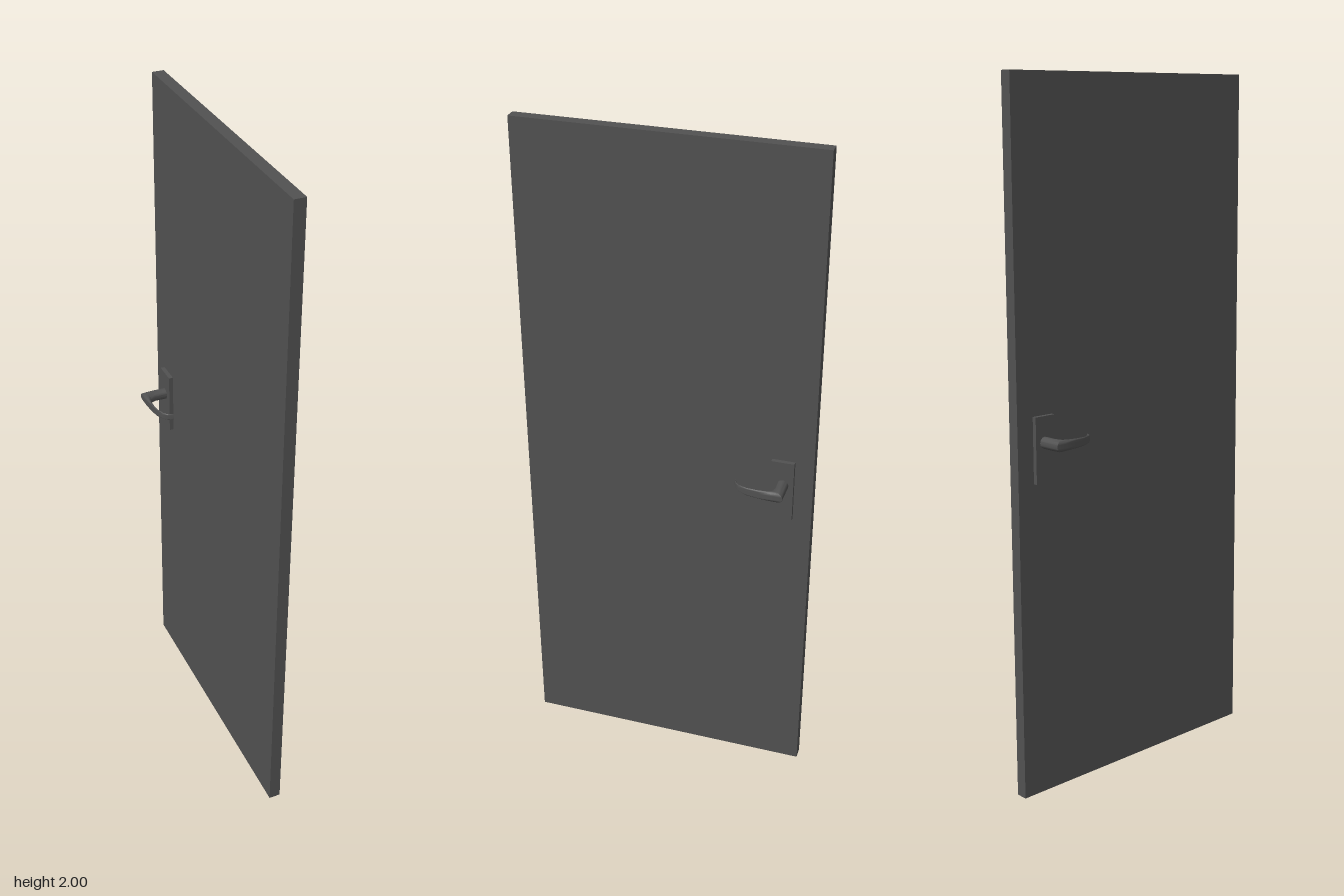
import * as THREE from 'three';
import { toCreasedNormals } from 'three/addons/utils/BufferGeometryUtils.js';

const material = new THREE.MeshStandardMaterial({ color: 0x515151 });

function box(name, w, h, d, x, y, z) {
  const mesh = new THREE.Mesh(new THREE.BoxGeometry(w, h, d), material);
  mesh.name = name;
  mesh.position.set(x, y, z);
  return mesh;
}

// Hooked lever: elliptical sections from spindle to tip,
// each given as [outer x, outer z, inner x, inner z, half height]
const sections = [
  [0.02, -0.361, 0.02, -0.328, 0.0165],
  [0.066, -0.361, 0.066, -0.329, 0.0165],
  [0.102, -0.361, 0.082, -0.32, 0.0165],
  [0.102, -0.33, 0.087, -0.306, 0.015],
  [0.1, -0.295, 0.09, -0.287, 0.0135],
  [0.094, -0.258, 0.0875, -0.256, 0.012],
  [0.084, -0.23, 0.077, -0.232, 0.0105],
  [0.073, -0.219, 0.068, -0.223, 0.01],
  [0.055, -0.212, 0.055, -0.216, 0.009],
];

function leverGeometry(sides = 16) {
  const positions = [], index = [];
  for (const [ox, oz, ix, iz, h] of sections) {
    for (let j = 0; j < sides; j++) {
      const a = (j / sides) * Math.PI * 2;
      const c = Math.cos(a) / 2;
      positions.push((ox + ix) / 2 + c * (ox - ix), h * Math.sin(a), (oz + iz) / 2 + c * (oz - iz));
    }
  }
  const last = (sections.length - 1) * sides;
  for (let i = 0; i < last; i += sides) {
    for (let j = 0; j < sides; j++) {
      const k = (j + 1) % sides;
      index.push(i + j, i + k, i + sides + j, i + k, i + sides + k, i + sides + j);
    }
  }
  // End caps
  for (let j = 1; j < sides - 1; j++) {
    index.push(0, j + 1, j, last, last + j, last + j + 1);
  }
  const geometry = new THREE.BufferGeometry();
  geometry.setAttribute('position', new THREE.Float32BufferAttribute(positions, 3));
  geometry.setIndex(index);
  return toCreasedNormals(geometry, 0.7);
}

export function createModel() {
  const model = new THREE.Group();
  model.name = 'door';

  // Everything shares the slight lean and turn of the door, pivoting at mid height
  const leaning = new THREE.Group();
  leaning.name = 'leaningDoor';
  leaning.position.set(0.002, 1, 0);
  leaning.rotation.set(0, 0.006, -0.0077);
  model.add(leaning);

  leaning.add(box('doorPanel', 0.034, 1.9997, 0.857, 0, 0, 0));

  // Back plate and lever on each face; the lever is symmetric in height,
  // so a half turn about z gives its mirror image
  const lever = leverGeometry();
  for (const [side, label] of [[1, 'left'], [-1, 'right']]) {
    leaning.add(box(label + 'HandlePlate', 0.014, 0.187, 0.066, side * 0.0225, 0, -0.342));
    const handle = new THREE.Mesh(lever, material);
    handle.name = label + 'HandleLever';
    handle.position.y = 0.02;
    handle.rotation.z = side > 0 ? 0 : Math.PI;
    leaning.add(handle);
  }
  return model;
}
